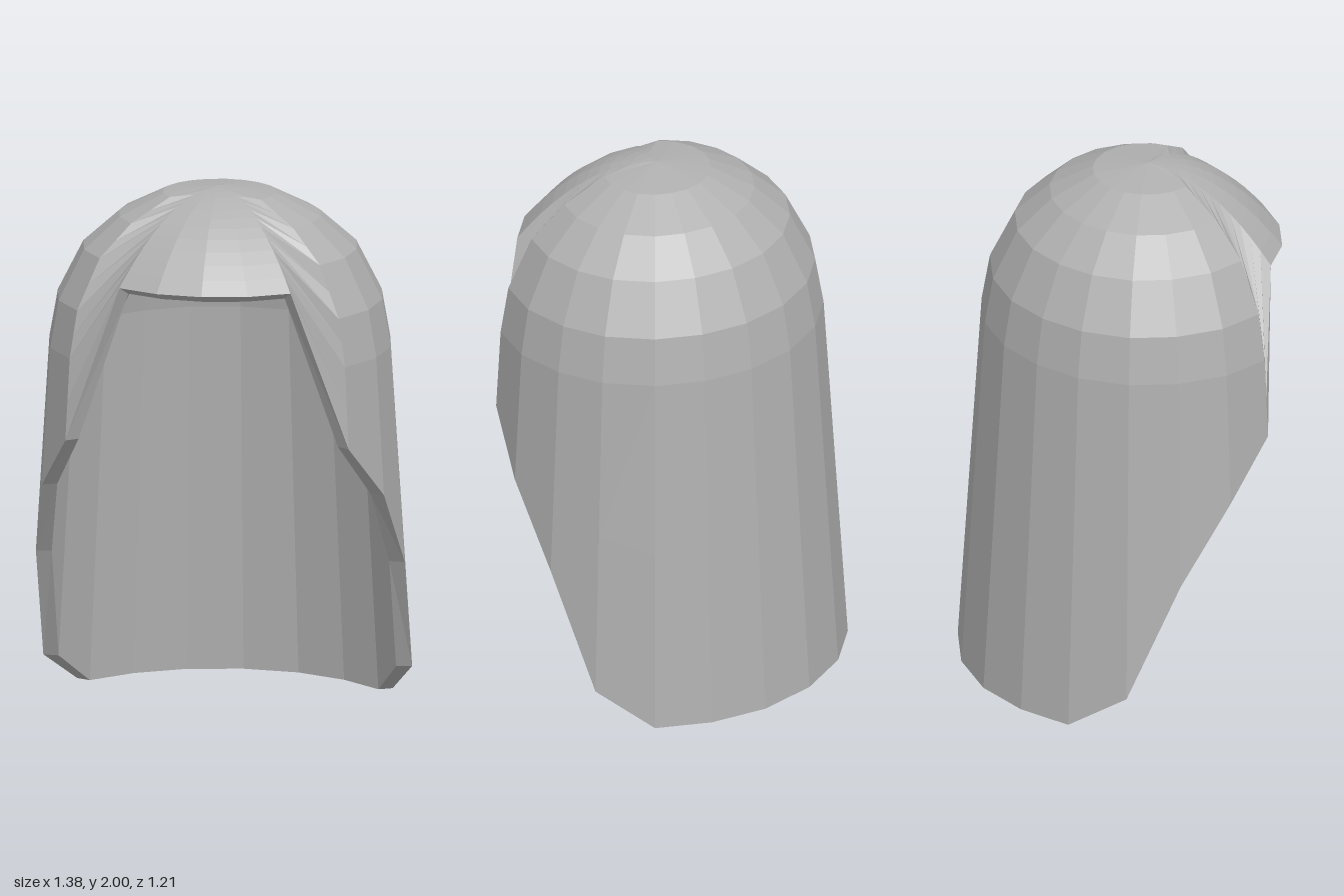
import * as THREE from 'three';

// Rim of the hood from the back centre round the left side to the front centre: x, y, z
const HALF_RIM = [
  [0, 0, -0.605], [0.23, 0, -0.57], [0.43, 0, -0.47], [0.59, 0, -0.325],
  [0.69, 0.135, -0.125], [0.69, 0.58, 0.08], [0.64, 0.88, 0.28], [0.53, 1.09, 0.445],
  [0.32, 1.69, 0.5], [0.17, 1.69, 0.575], [0, 1.69, 0.6],
];
const APEX_Z = 0.1;
const ROWS = 12;
const SPRING_Y = 1.4; // height where the straight walls turn into the dome

// Dome profile: share of the wall radius and height, from the crown down
const DOME = [[0, 2], [0.33, 1.975], [0.59, 1.89], [0.8, 1.77], [0.95, 1.58], [1, SPRING_Y]];

// Point on the outer skin: row 0 is the crown, the last row is the rim
function outerPoint([x, y, z], row) {
  let f, h;
  if (y > SPRING_Y) {
    // peak: a smooth arc down to its rim
    f = row / ROWS;
    h = 2 - (2 - y) * Math.pow(f, 2.1);
  } else {
    const wall = 1 - 0.09 * (SPRING_Y - y);
    const k = row / 2, i = Math.floor(k), t = k - i;
    const at = (n) => (n < DOME.length ? [DOME[n][0] * wall, DOME[n][1]] : [1, y]);
    const a = at(i), b = at(Math.min(i + 1, 6));
    f = a[0] + (b[0] - a[0]) * t;
    h = a[1] + (b[1] - a[1]) * t;
  }
  return [x * f, h, APEX_Z + (z - APEX_Z) * f];
}

// Matching point on the inner skin
function innerPoint(rim, row) {
  const [x, y, z] = outerPoint(rim, row);
  return [x * 0.915, y > SPRING_Y ? SPRING_Y + (y - SPRING_Y) * 0.9 : y, z * 0.92];
}

function buildGeometry(quads) {
  const positions = [];
  for (const [a, b, c, d] of quads) positions.push(...a, ...b, ...c, ...a, ...c, ...d);
  const geometry = new THREE.BufferGeometry();
  geometry.setAttribute('position', new THREE.Float32BufferAttribute(positions, 3));
  geometry.computeVertexNormals();
  return geometry;
}

export function createModel() {
  const group = new THREE.Group();
  group.name = 'hood';
  const grey = new THREE.MeshStandardMaterial({ color: 0xb0b0b0, flatShading: true });
  grey.name = 'grey';

  // Full closed loop of columns, the right half mirrored from the left
  const mirrored = HALF_RIM.slice(1, -1).reverse().map(([x, y, z]) => [-x, y, z]);
  const rim = [...HALF_RIM, ...mirrored];

  const outer = [], inner = [], edge = [];
  rim.forEach((p, i) => {
    const q = rim[(i + 1) % rim.length];
    const flip = p[0] < 0 || q[0] < 0; // keeps the diagonals symmetrical
    const add = (list, a, b, c, d) => list.push(flip ? [b, c, d, a] : [a, b, c, d]);
    for (let r = 0; r < ROWS; r++) {
      add(outer, outerPoint(p, r), outerPoint(q, r), outerPoint(q, r + 1), outerPoint(p, r + 1));
      add(inner, innerPoint(p, r), innerPoint(p, r + 1), innerPoint(q, r + 1), innerPoint(q, r));
    }
    add(edge, outerPoint(p, ROWS), outerPoint(q, ROWS), innerPoint(q, ROWS), innerPoint(p, ROWS));
  });

  // Outer skin, lining and the edge that joins them
  for (const [name, quads] of [['outerShell', outer], ['innerLining', inner], ['rimEdge', edge]]) {
    const mesh = new THREE.Mesh(buildGeometry(quads), grey);
    mesh.name = name;
    group.add(mesh);
  }
  return group;
}
